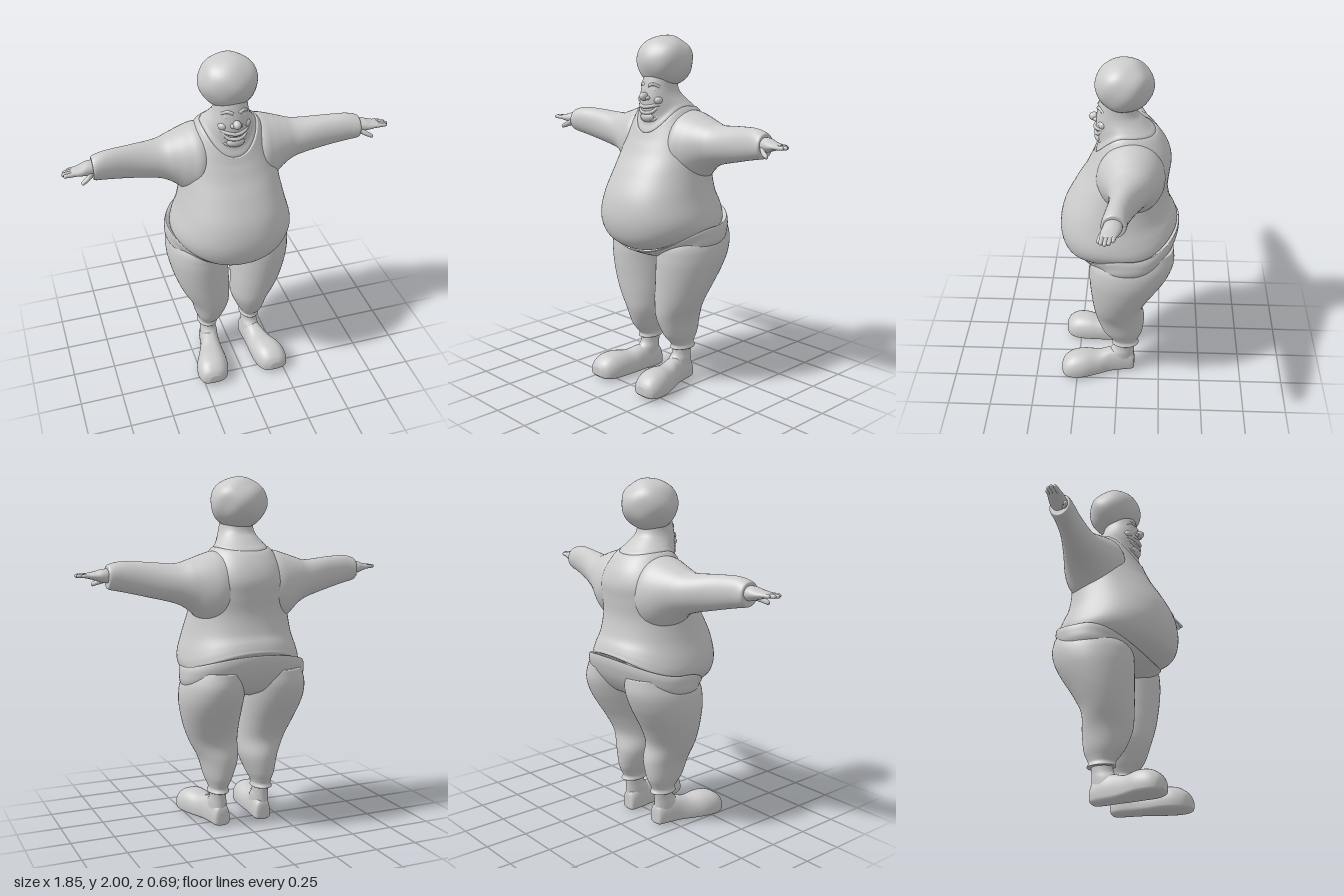
import * as THREE from 'three';
import { mergeVertices } from 'three/addons/utils/BufferGeometryUtils.js';

const material = new THREE.MeshStandardMaterial({ color: 0xcccccc });

// Smooth closed skin through cross-sections; point(row, angle) gives a ring vertex
function loft(rows, point, sides = 48, steps = 6) {
  const n = (rows.length - 1) * steps, pos = [], index = [];
  const at = (i) => rows[Math.max(0, Math.min(rows.length - 1, i))];
  for (let j = 0; j <= n; j++) {
    const i = Math.min(Math.floor(j / steps), rows.length - 2), t = j / steps - i;
    const row = rows[0].map((_, k) => {
      const [a, b, c, d] = [at(i - 1)[k], at(i)[k], at(i + 1)[k], at(i + 2)[k]];
      return b + 0.5 * t * (c - a + t * (2 * a - 5 * b + 4 * c - d + t * (3 * (b - c) + d - a)));
    });
    for (let s = 0; s < sides; s++) pos.push(...point(row, (s / sides) * Math.PI * 2));
  }
  for (let j = 0; j < n; j++) {
    for (let s = 0; s < sides; s++) {
      const a = j * sides + s, b = j * sides + (s + 1) % sides;
      index.push(a, a + sides, b, b, a + sides, b + sides);
    }
  }
  // Close both ends with a fan
  for (const [start, flip] of [[0, false], [n * sides, true]]) {
    const c = [0, 0, 0], id = pos.length / 3;
    for (let s = 0; s < sides; s++) for (let k = 0; k < 3; k++) c[k] += pos[(start + s) * 3 + k] / sides;
    pos.push(...c);
    for (let s = 0; s < sides; s++) {
      const a = start + s, b = start + (s + 1) % sides;
      index.push(id, flip ? b : a, flip ? a : b);
    }
  }
  const g = new THREE.BufferGeometry();
  g.setAttribute('position', new THREE.Float32BufferAttribute(pos, 3));
  g.setIndex(index);
  g.computeVertexNormals();
  return g;
}

// Squared-off cosine and sine for slightly boxy ovals
const soft = (v, p = 0.92) => Math.sign(v) * Math.abs(v) ** p;

// Body ring: [ySide, yFront, yBack, halfWidth, zFront, zBack]
const bodyRing = ([ys, yf, yb, rx, zf, zb], a) => {
  const s = soft(Math.sin(a));
  return [rx * soft(Math.cos(a)), ys + ((s > 0 ? yf : yb) - ys) * s * s, (zf + zb) / 2 + (zf - zb) / 2 * s];
};
// Leg ring: [y, xCentre, halfWidth, zFront, zBack]
const legRing = ([y, cx, rx, zf, zb], a) =>
  [cx + rx * Math.cos(a), y, (zf + zb) / 2 + (zf - zb) / 2 * Math.sin(a)];
// Arm ring: [x, yTop, yBottom, zFront, zBack]
const armRing = ([x, yt, yb, zf, zb], a) =>
  [x, (yt + yb) / 2 + (yt - yb) / 2 * Math.sin(a), (zf + zb) / 2 + (zf - zb) / 2 * Math.cos(a)];
// Shoe ring: [z, xCentre, halfWidth, top, bottom], flattened underneath
const shoeRing = ([z, cx, rx, top, bot], a) => {
  const c = Math.cos(a), mid = bot + (top - bot) * 0.35;
  return [cx + rx * soft(Math.sin(a), 0.8), c > 0 ? mid + (top - mid) * c : mid - (mid - bot) * (-c) ** 0.45, z];
};

function mirrored(geometry) {
  const g = geometry.clone().scale(-1, 1, 1), ix = g.index.array;
  for (let i = 0; i < ix.length; i += 3) [ix[i], ix[i + 1]] = [ix[i + 1], ix[i]];
  g.computeVertexNormals();
  return g;
}

export function createModel() {
  const model = new THREE.Group();
  const add = (name, geometry) => {
    const m = new THREE.Mesh(geometry, material);
    m.name = name;
    model.add(m);
    return m;
  };
  const pair = (name, geometry) => {
    add(name + 'Left', geometry);
    add(name + 'Right', mirrored(geometry));
  };
  const ball = (x, y, z, rx, ry, rz) =>
    new THREE.SphereGeometry(1, 20, 14).scale(rx, ry, rz).translate(x, y, z);
  const tube = (points, r) => new THREE.TubeGeometry(
    new THREE.CatmullRomCurve3(points.map((p) => new THREE.Vector3(...p))), 28, r, 8);

  // Shirt body with tilted hem and scooped neckline
  add('shirt', loft([
    [0.92, 0.81, 1.02, 0.29, 0.17, -0.27],
    [0.93, 0.825, 1.045, 0.33, 0.235, -0.328],
    [0.97, 0.88, 1.065, 0.345, 0.305, -0.328],
    [1.03, 0.99, 1.1, 0.337, 0.335, -0.315],
    [1.13, 1.12, 1.15, 0.308, 0.315, -0.29],
    [1.25, 1.25, 1.25, 0.283, 0.25, -0.272],
    [1.35, 1.34, 1.35, 0.272, 0.195, -0.28],
    [1.43, 1.4, 1.43, 0.255, 0.165, -0.288],
    [1.51, 1.43, 1.5, 0.225, 0.15, -0.27],
    [1.58, 1.455, 1.56, 0.185, 0.14, -0.235],
    [1.612, 1.468, 1.592, 0.16, 0.133, -0.205],
    [1.607, 1.463, 1.587, 0.148, 0.115, -0.19],
  ], bodyRing, 64));

  // Sleeves flaring into the shoulders
  pair('sleeve', loft([
    [0.08, 1.57, 1.22, 0.06, -0.24],
    [0.17, 1.592, 1.18, 0.115, -0.255],
    [0.24, 1.577, 1.2, 0.1, -0.24],
    [0.32, 1.55, 1.27, 0.066, -0.205],
    [0.4, 1.53, 1.312, 0.042, -0.168],
    [0.55, 1.54, 1.35, 0.036, -0.108],
    [0.68, 1.545, 1.38, 0.05, -0.075],
    [0.75, 1.53, 1.395, 0.06, -0.066],
    [0.758, 1.515, 1.41, 0.045, -0.05],
  ], armRing));

  // Hands: palm, four fingers and a thumb
  pair('palm', loft([
    [0.72, 1.505, 1.425, 0.04, -0.045],
    [0.78, 1.507, 1.433, 0.05, -0.047],
    [0.82, 1.495, 1.445, 0.058, -0.035],
    [0.86, 1.487, 1.457, 0.058, -0.02],
    [0.875, 1.48, 1.463, 0.052, -0.01],
  ], armRing, 28, 4));
  for (let i = 0; i < 4; i++) {
    const z = -0.012 + i * 0.019, end = [0.895, 0.917, 0.925, 0.915][i];
    pair('finger' + (i + 1), loft([
      [0.83, 1.483, 1.457, z + 0.012, z - 0.014],
      [end - 0.02, 1.483, 1.461, z + 0.016, z - 0.006],
      [end - 0.004, 1.48, 1.463, z + 0.015, z - 0.002],
      [end, 1.474, 1.468, z + 0.01, z + 0.004],
    ], armRing, 12, 4));
  }
  pair('thumb', loft([
    [0.76, 1.475, 1.43, 0.045, 0.01],
    [0.79, 1.452, 1.42, 0.068, 0.035],
    [0.82, 1.434, 1.41, 0.076, 0.052],
    [0.828, 1.425, 1.415, 0.07, 0.06],
  ], armRing, 14, 4));

  // Trousers: seat with raised waist edge, and two legs
  add('trouserSeat', loft([
    [0.75, 0.76, 0.78, 0.1, 0.07, -0.15],
    [0.79, 0.77, 0.82, 0.3, 0.13, -0.24],
    [0.86, 0.78, 0.9, 0.36, 0.16, -0.305],
    [0.92, 0.79, 0.98, 0.366, 0.185, -0.338],
    [0.955, 0.805, 1.03, 0.36, 0.215, -0.344],
    [0.957, 0.81, 1.035, 0.35, 0.205, -0.334],
    [0.94, 0.795, 1.02, 0.335, 0.18, -0.31],
  ], bodyRing, 64));
  pair('trouserLeg', loft([
    [0.2, 0.137, 0.045, 0.02, -0.105],
    [0.203, 0.137, 0.061, 0.04, -0.124],
    [0.225, 0.136, 0.055, 0.036, -0.115],
    [0.25, 0.135, 0.062, 0.055, -0.125],
    [0.3, 0.132, 0.083, 0.093, -0.145],
    [0.4, 0.127, 0.114, 0.13, -0.155],
    [0.5, 0.15, 0.14, 0.146, -0.145],
    [0.6, 0.17, 0.16, 0.155, -0.188],
    [0.7, 0.183, 0.174, 0.162, -0.25],
    [0.78, 0.187, 0.18, 0.163, -0.293],
    [0.86, 0.183, 0.175, 0.15, -0.318],
    [0.94, 0.17, 0.15, 0.08, -0.315],
  ], legRing));

  // Ankles and big round-toed shoes turned slightly outward
  pair('ankle', loft([
    [0.06, 0.135, 0.052, 0.09, -0.095],
    [0.13, 0.135, 0.051, 0.06, -0.095],
    [0.17, 0.135, 0.046, 0.028, -0.097],
    [0.23, 0.136, 0.046, 0.02, -0.105],
  ], legRing, 32));
  pair('shoe', loft([
    [-0.099, 0.13, 0.025, 0.08, 0.02],
    [-0.088, 0.13, 0.047, 0.12, 0.003],
    [-0.03, 0.134, 0.056, 0.155, 0],
    [0.05, 0.145, 0.062, 0.148, 0],
    [0.12, 0.16, 0.077, 0.132, 0],
    [0.2, 0.177, 0.094, 0.143, 0],
    [0.27, 0.186, 0.093, 0.137, 0],
    [0.32, 0.191, 0.073, 0.108, 0.008],
    [0.342, 0.193, 0.035, 0.075, 0.025],
  ], shoeRing, 40));

  // Neck and lower head in one skin
  add('headAndNeck', loft([
    [1.58, 1.43, 1.55, 0.15, 0.115, -0.195],
    [1.612, 1.47, 1.592, 0.151, 0.125, -0.198],
    [1.635, 1.52, 1.625, 0.134, 0.112, -0.165],
    [1.665, 1.585, 1.66, 0.113, 0.122, -0.13],
    [1.7, 1.65, 1.69, 0.098, 0.125, -0.102],
    [1.745, 1.735, 1.735, 0.09, 0.112, -0.09],
    [1.82, 1.82, 1.82, 0.085, 0.09, -0.09],
  ], bodyRing));

  // Face: nose, eyes, cheeks, brows, smiling lips, chin and fold
  add('nose', ball(0, 1.668, 0.134, 0.022, 0.024, 0.028));
  add('chin', ball(0, 1.553, 0.104, 0.05, 0.03, 0.03));
  for (const s of [-1, 1]) {
    const side = s > 0 ? 'Left' : 'Right';
    add('eye' + side, ball(s * 0.046, 1.703, 0.094, 0.015, 0.013, 0.013));
    add('nostril' + side, ball(s * 0.02, 1.66, 0.124, 0.014, 0.012, 0.016));
    add('cheek' + side, ball(s * 0.06, 1.648, 0.082, 0.03, 0.025, 0.028));
    add('brow' + side, tube([[s * 0.015, 1.725, 0.112], [s * 0.042, 1.735, 0.102], [s * 0.07, 1.72, 0.078]], 0.009));
  }
  const smile = (w, yEnd, yMid, z) => [[-w, yEnd, z - 0.045], [-w * 0.55, yMid + 0.006, z - 0.012],
    [0, yMid, z], [w * 0.55, yMid + 0.006, z - 0.012], [w, yEnd, z - 0.045]];
  add('upperLip', tube(smile(0.075, 1.625, 1.61, 0.13), 0.01));
  add('lowerLip', tube(smile(0.075, 1.622, 1.578, 0.126), 0.01));
  add('chinFold', tube(smile(0.085, 1.585, 1.535, 0.115), 0.008));

  // Rounded, slightly lumpy hair
  const hair = new THREE.IcosahedronGeometry(1, 14);
  hair.deleteAttribute('uv');
  hair.deleteAttribute('normal');
  const hairGeometry = mergeVertices(hair, 1e-4), p = hairGeometry.attributes.position;
  for (let i = 0; i < p.count; i++) {
    const [x, y, z] = [p.getX(i), p.getY(i), p.getZ(i)];
    const r = 1 + 0.018 * Math.sin(5 * x + 1) * Math.sin(5 * y + 2) + 0.018 * Math.sin(6 * z + 4 * y) * Math.cos(4 * x);
    const taper = y < 0 ? 1 + 0.12 * y * y * y : 1;
    p.setXYZ(i, x * r * taper * 0.16, 1.853 + y * r * 0.144, -0.028 + z * r * 0.156);
  }
  hairGeometry.computeVertexNormals();
  add('hair', hairGeometry);

  return model;
}
